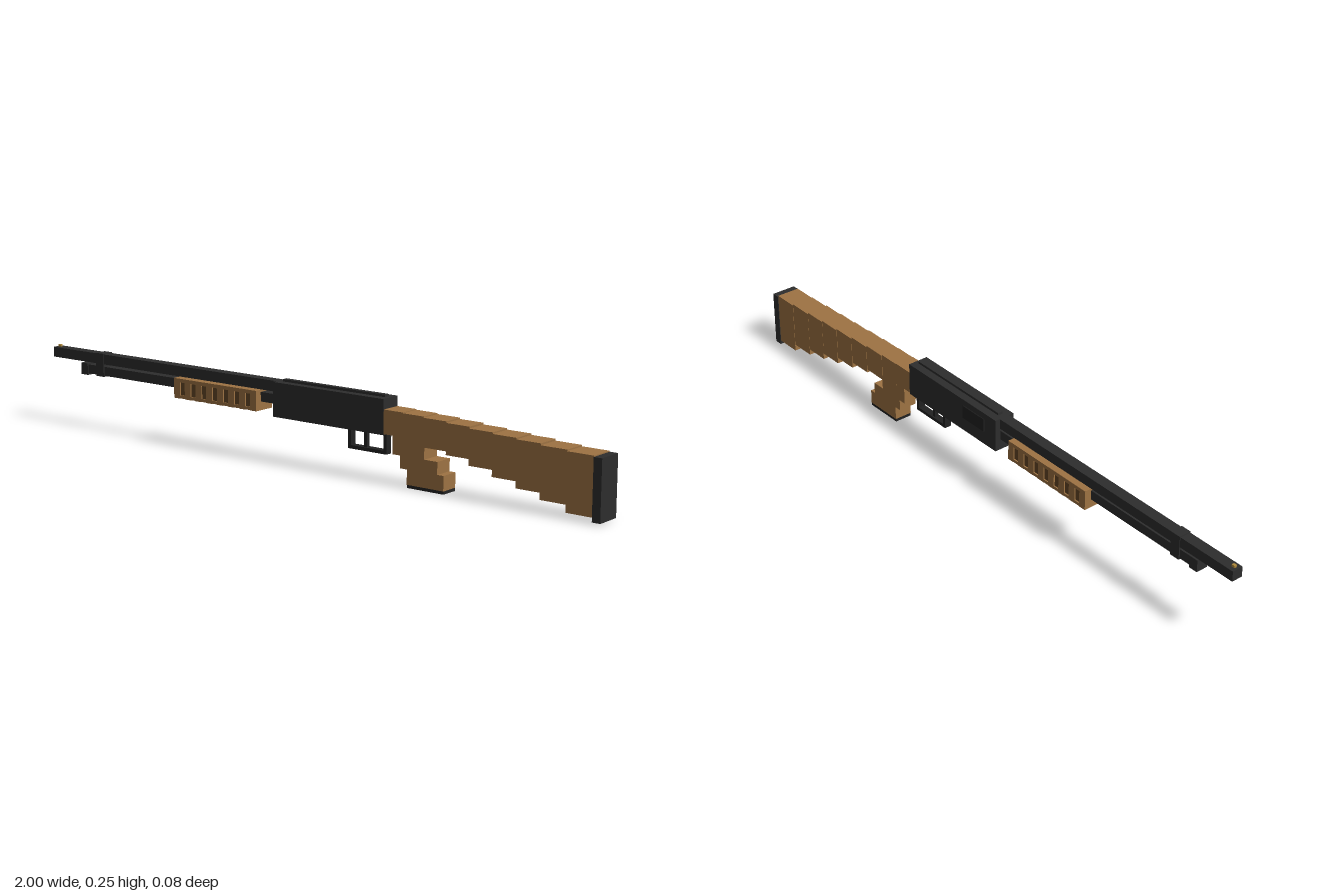
import * as THREE from 'three';

const material = (name, color) => {
  const m = new THREE.MeshStandardMaterial({ color });
  m.name = name;
  return m;
};

export function createModel() {
  const model = new THREE.Group();
  model.name = 'pumpGun';
  const steel = material('dark steel', 0x2d2d2d);
  const black = material('black rubber', 0x222222);
  const wood = material('wood', 0x9e7343);
  const groove = material('dark groove wood', 0x644626);
  const brass = material('brass', 0xb08a3c);

  // Box given by its extents in x and y, and by z limits
  const box = (name, mat, x0, x1, y0, y1, z0, z1 = -z0, parent = model) => {
    const mesh = new THREE.Mesh(
      new THREE.BoxGeometry(x1 - x0, y1 - y0, Math.abs(z1 - z0)), mat);
    mesh.position.set((x0 + x1) / 2, (y0 + y1) / 2, (z0 + z1) / 2);
    mesh.name = name;
    parent.add(mesh);
    return mesh;
  };
  const group = (name) => {
    const g = new THREE.Group();
    g.name = name;
    model.add(g);
    return g;
  };

  // Barrel, magazine tube and fittings
  box('barrel', steel, -1, -0.09, 0.207, 0.238, 0.017);
  box('frontBead', brass, -0.992, -0.982, 0.238, 0.245, 0.004);
  box('magazineTube', steel, -0.86, -0.09, 0.171, 0.199, 0.015);
  box('magazineCap', steel, -0.878, -0.85, 0.166, 0.202, 0.018);
  box('barrelClamp', steel, -0.812, -0.78, 0.168, 0.24, 0.019);

  // Pump grip: dark core under wooden rails and ribs
  const pump = group('pumpGrip');
  box('pumpCore', groove, -0.468, -0.152, 0.15, 0.2, 0.032, -0.032, pump);
  box('pumpTopRail', wood, -0.47, -0.15, 0.194, 0.205, 0.036, -0.036, pump);
  for (const s of [-1, 1])
    box('pumpLowerRail', wood, -0.47, -0.15, 0.146, 0.155, s * 0.026, s * 0.036, pump);
  const pitch = 0.0425, rib = 0.0235;
  for (let i = 0; i < 8; i++) {
    const x = -0.47 + i * pitch;
    box('pumpRib', wood, x, Math.min(x + rib, -0.15), 0.145, 0.2, 0.036, -0.036, pump);
  }

  // Receiver with top rail and ejection port on the right-hand side
  box('receiver', steel, -0.09, 0.305, 0.137, 0.238, 0.032);
  box('topRail', steel, -0.072, 0.292, 0.238, 0.245, 0.008);
  box('ejectionPort', black, -0.04, 0.055, 0.178, 0.219, -0.03, -0.034);

  // Trigger guard
  const guard = group('triggerGuard');
  box('guardBottom', black, 0.166, 0.3, 0.078, 0.088, 0.011, -0.011, guard);
  box('guardFront', black, 0.166, 0.176, 0.088, 0.137, 0.011, -0.011, guard);
  box('guardRear', black, 0.29, 0.3, 0.088, 0.137, 0.011, -0.011, guard);
  box('trigger', black, 0.219, 0.229, 0.085, 0.137, 0.006, -0.006, guard);

  // Stock: blocks [start, top, bottom, half width], stepping toward the butt
  const stock = group('stock');
  const steps = [
    [0.305, 0.209, 0.14, 0.031],
    [0.37, 0.207, 0.115, 0.031],
    [0.44, 0.204, 0.122, 0.032],
    [0.515, 0.2, 0.112, 0.033],
    [0.59, 0.195, 0.094, 0.034],
    [0.665, 0.191, 0.075, 0.035],
    [0.74, 0.187, 0.056, 0.0355],
    [0.815, 0.182, 0.037, 0.036],
    [0.895, 0.178, 0.016, 0.037],
    [0.975],
  ];
  for (let i = 0; i < steps.length - 1; i++) {
    const [x, top, bottom, w] = steps[i];
    box('stockBlock', wood, x, steps[i + 1][0], bottom, top, w, -w, stock);
  }
  box('buttPad', steel, 0.975, 1, 0.004, 0.175, 0.039);

  // Hand grip, slanting back as it descends
  const grip = group('handGrip');
  [
    [0.335, 0.442, 0.088, 0.145, 0.03],
    [0.36, 0.485, 0.052, 0.088, 0.029],
    [0.383, 0.505, 0.009, 0.052, 0.028],
  ].forEach(([x0, x1, y0, y1, w]) => box('gripBlock', wood, x0, x1, y0, y1, w, -w, grip));
  box('gripCap', black, 0.383, 0.505, 0, 0.009, 0.027, -0.027, grip);

  return model;
}
